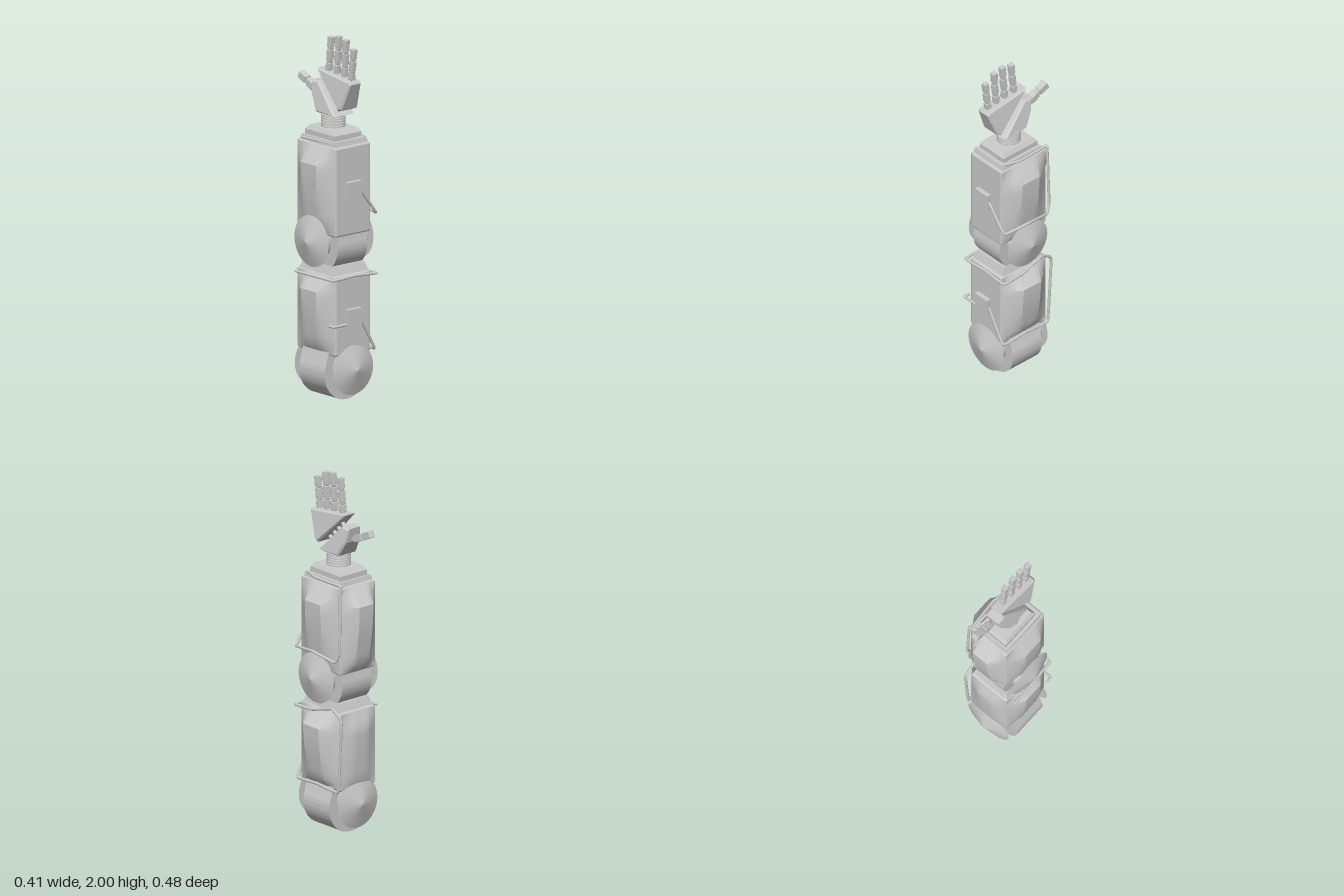
import * as THREE from 'three';
import { toCreasedNormals } from 'three/addons/utils/BufferGeometryUtils.js';
import { RoundedBoxGeometry } from 'three/addons/geometries/RoundedBoxGeometry.js';

const material = new THREE.MeshStandardMaterial({ color: 0xcccccc });
const thin = new THREE.MeshStandardMaterial({ color: 0xcccccc, side: THREE.DoubleSide });
const AXIS_Z = 0.035; // depth of the arm's centre line

function add(parent, name, geometry, x = 0, y = 0, z = 0, mat = material) {
  const mesh = new THREE.Mesh(geometry, mat);
  mesh.name = name;
  mesh.position.set(x, y, z);
  parent.add(mesh);
  return mesh;
}

function group(parent, name, x = 0, y = 0, z = 0) {
  const g = new THREE.Group();
  g.name = name;
  g.position.set(x, y, z);
  parent.add(g);
  return g;
}

// Box whose top is scaled in, standing on its base
function frustum(w, h, d, sx, sz) {
  const g = new THREE.BoxGeometry(w, h, d).translate(0, h / 2, 0);
  const p = g.attributes.position;
  for (let i = 0; i < p.count; i++) {
    if (p.getY(i) > h / 2) p.setXYZ(i, p.getX(i) * sx, h, p.getZ(i) * sz);
  }
  return toCreasedNormals(g, 0.3);
}

// Joint built along local z: drum with a neck, two discs and two shallow cones
function joint(parent, name, y, neckHalf, neckTop) {
  const g = group(parent, name, 0, y, AXIS_Z);
  const R = 0.155, a = Math.acos(Math.min(1, neckHalf / R)) * 0.55;
  const s = new THREE.Shape();
  s.moveTo(-neckHalf, neckTop);
  s.lineTo(-R * Math.cos(a), R * Math.sin(a));
  s.absarc(0, 0, R, Math.PI - a, 2 * Math.PI + a, false);
  s.lineTo(neckHalf, neckTop);
  s.closePath();
  const drum = new THREE.ExtrudeGeometry(s, { depth: 0.21, bevelEnabled: false, curveSegments: 40 });
  add(g, 'drum', toCreasedNormals(drum.translate(0, 0, -0.105), 0.5));
  for (const side of [1, -1]) {
    const disc = new THREE.CylinderGeometry(0.1, 0.1, 0.055, 40).rotateX(Math.PI / 2);
    add(g, 'disc', disc, 0, 0.02, side * 0.13);
    const cone = new THREE.ConeGeometry(0.142, 0.045, 40).rotateX(side * Math.PI / 2);
    add(g, 'coneCover', cone, 0, 0.02, side * 0.18);
  }
  return g;
}

// Bulged armour plate: swells upward, then chamfers back in at the top
function panelGeometry(width, height, out) {
  const g = new THREE.PlaneGeometry(width, height, 10, 10);
  const p = g.attributes.position;
  for (let i = 0; i < p.count; i++) {
    const u = Math.abs(p.getX(i)) / (width / 2);
    const v = p.getY(i) / height + 0.5;
    const across = Math.min(1, (1 - u) / 0.6);
    let up = 0.3 + 0.7 * Math.sin(Math.min(1, v / 0.8) * Math.PI / 2);
    if (v < 0.01) up = 0;
    if (v > 0.81) up = (1 - v) / 0.2;
    p.setZ(i, out * across * up);
  }
  return toCreasedNormals(g, 0.5);
}

// Limb section: core, armour plates and a small box on the front
function segment(parent, name, y0, y1, outs, boxY) {
  const g = group(parent, name);
  const h = y1 - y0, yc = (y0 + y1) / 2;
  add(g, 'core', new RoundedBoxGeometry(0.25, h, 0.32, 2, 0.012), 0, yc, AXIS_Z);
  const plates = [
    ['leftPlate', Math.PI / 2, 0.31, 0.124, AXIS_Z, outs[0]],
    ['rightPlate', -Math.PI / 2, 0.31, -0.124, AXIS_Z, outs[1]],
    ['backPlate', Math.PI, 0.245, 0, AXIS_Z - 0.159, outs[2]],
  ];
  for (const [n, angle, w, x, z, out] of plates) {
    add(g, n, panelGeometry(w, h - 0.015, out).rotateY(angle), x, yc, z, thin);
  }
  add(g, 'frontBox', new THREE.BoxGeometry(0.1, 0.1, 0.035), -0.01, boxY, 0.203);
  return g;
}

// Cable with tight bends through the given points
function cable(parent, name, points, r = 0.008) {
  const v = points.map((p) => new THREE.Vector3(...p));
  const path = new THREE.CatmullRomCurve3(v, false, 'catmullrom', 0.08);
  const g = group(parent, name);
  add(g, 'hose', new THREE.TubeGeometry(path, v.length * 14, r, 8));
  for (const end of [v[0], v[v.length - 1]]) {
    add(g, 'hoseEnd', new THREE.SphereGeometry(r, 8, 6), end.x, end.y, end.z);
  }
}

// Hand plate from a side outline of [z, y], with thickness tapering upward
function handPlate(parent, name, outline, yLow, halfLow, yHigh, halfHigh) {
  const s = new THREE.Shape(outline.map(([z, y]) => new THREE.Vector2(-z, y)));
  const g = new THREE.ExtrudeGeometry(s, {
    depth: 1.6, bevelThickness: 0.2, bevelSize: 0.01, bevelOffset: -0.01, bevelSegments: 1,
  }).translate(0, 0, -0.8).rotateY(Math.PI / 2);
  const p = g.attributes.position;
  for (let i = 0; i < p.count; i++) {
    const t = (p.getY(i) - yLow) / (yHigh - yLow);
    p.setX(i, p.getX(i) * THREE.MathUtils.lerp(halfLow, halfHigh, t));
  }
  return add(parent, name, toCreasedNormals(g, 0.3));
}

// Finger from base to tip, [z, y] each: three blocks linked by pins
function finger(parent, name, base, tip, width, blocks) {
  const dz = tip[0] - base[0], dy = tip[1] - base[1], L = Math.hypot(dz, dy);
  const g = group(parent, name, 0, base[1], base[0]);
  g.rotation.x = Math.atan2(dz, dy);
  add(g, 'link', new THREE.CylinderGeometry(width * 0.36, width * 0.36, L * 0.9, 10), 0, L * 0.45, 0);
  for (const [a, b] of blocks) {
    const block = new RoundedBoxGeometry(width, (b - a) * L, width, 1, 0.003);
    add(g, 'phalanx', block, 0, (a + b) / 2 * L, 0);
    const pin = new THREE.CylinderGeometry(width * 0.4, width * 0.4, width * 0.85, 12).rotateZ(Math.PI / 2);
    add(g, 'pin', pin, 0, Math.max(0, a * L - 0.006), 0);
  }
}

export function createModel() {
  const arm = new THREE.Group();
  arm.name = 'mechanicalArm';

  // Joints: the shoulder turns about z, the elbow about x
  joint(arm, 'shoulderJoint', 0.155, 0.12, 0.15);
  joint(arm, 'elbowJoint', 0.86, 0.145, 0.1).rotation.y = Math.PI / 2;

  // Upper arm and forearm with their stepped caps
  segment(arm, 'upperArm', 0.26, 0.705, [0.072, 0.056, 0.03], 0.465);
  add(arm, 'upperArmCap', frustum(0.24, 0.05, 0.29, 0.88, 0.88), 0, 0.702, AXIS_Z);
  segment(arm, 'forearm', 0.92, 1.415, [0.06, 0.056, 0.072], 1.17);
  add(arm, 'forearmCapLower', frustum(0.235, 0.03, 0.29, 0.95, 0.95), 0, 1.412, AXIS_Z);
  add(arm, 'forearmCapMiddle', frustum(0.19, 0.03, 0.245, 1, 1), 0, 1.44, 0.03);
  add(arm, 'forearmCapUpper', frustum(0.19, 0.025, 0.245, 0.85, 0.85), 0, 1.468, 0.03);

  // Ribbed wrist
  add(arm, 'wristCore', new THREE.CylinderGeometry(0.05, 0.05, 0.09, 24), 0, 1.53, 0.03);
  for (let i = 0; i < 5; i++) {
    add(arm, 'wristRing', new THREE.CylinderGeometry(0.066, 0.066, 0.009, 24), 0, 1.499 + i * 0.014, 0.03);
  }

  // Cables
  cable(arm, 'forearmSideCable', [[0.04, 1.17, 0.205], [0.155, 1.02, 0.2], [0.18, 1.035, 0.04],
    [0.15, 1.0, -0.11], [0.14, 1.06, -0.135], [0.13, 1.43, -0.13]]);
  cable(arm, 'forearmTopCable', [[0.12, 1.43, -0.13], [0.13, 1.435, 0.07], [0.105, 1.44, 0.155],
    [-0.08, 1.43, 0.165], [-0.107, 1.43, 0.14], [-0.112, 1.425, -0.1]]);
  cable(arm, 'upperArmSideCable', [[0.04, 0.46, 0.205], [0.145, 0.27, 0.2], [0.145, 0.275, 0.04],
    [0.14, 0.265, -0.125], [0.14, 0.66, -0.15], [0.14, 0.69, -0.14]]);
  cable(arm, 'upperArmTopCable', [[0.14, 0.69, -0.14], [0.145, 0.73, -0.08], [0.155, 0.69, 0.07],
    [0.155, 0.685, 0.205], [0, 0.695, 0.205], [-0.15, 0.69, 0.205], [-0.16, 0.69, -0.09]]);
  cable(arm, 'upperArmRightCable', [[-0.05, 0.435, 0.212], [-0.15, 0.435, 0.212], [-0.153, 0.435, 0.18]]);

  // Hand: palm and thumb base linked by a diagonal row of pins
  const hand = group(arm, 'hand');
  handPlate(hand, 'palm', [[0.217, 1.757], [0.206, 1.773], [-0.07, 1.8], [0.137, 1.6], [0.16, 1.61]],
    1.6, 0.066, 1.8, 0.036);
  handPlate(hand, 'thumbBase', [[0.12, 1.566], [-0.045, 1.735], [-0.1, 1.73], [-0.085, 1.65], [-0.037, 1.566]],
    1.566, 0.074, 1.735, 0.045);
  for (let i = 0; i < 4; i++) {
    const pin = new THREE.CylinderGeometry(0.012, 0.012, 0.06, 12).rotateX(Math.PI / 4);
    add(hand, 'palmPin', pin, 0, 1.62 + i * 0.033, 0.085 - i * 0.034);
  }

  // Fingers and thumb
  const blocks = [[0.03, 0.24], [0.32, 0.62], [0.7, 1]];
  const fingers = [
    ['littleFinger', [0.18, 1.77], [0.2, 1.95]],
    ['ringFinger', [0.122, 1.78], [0.137, 1.99]],
    ['middleFinger', [0.06, 1.785], [0.078, 2.0]],
    ['indexFinger', [-0.005, 1.79], [0.015, 1.985]],
  ];
  for (const [name, base, tip] of fingers) finger(hand, name, base, tip, 0.03, blocks);
  finger(hand, 'thumb', [-0.075, 1.655], [-0.237, 1.73], 0.04, [[0.28, 0.58], [0.68, 1]]);
  return arm;
}
